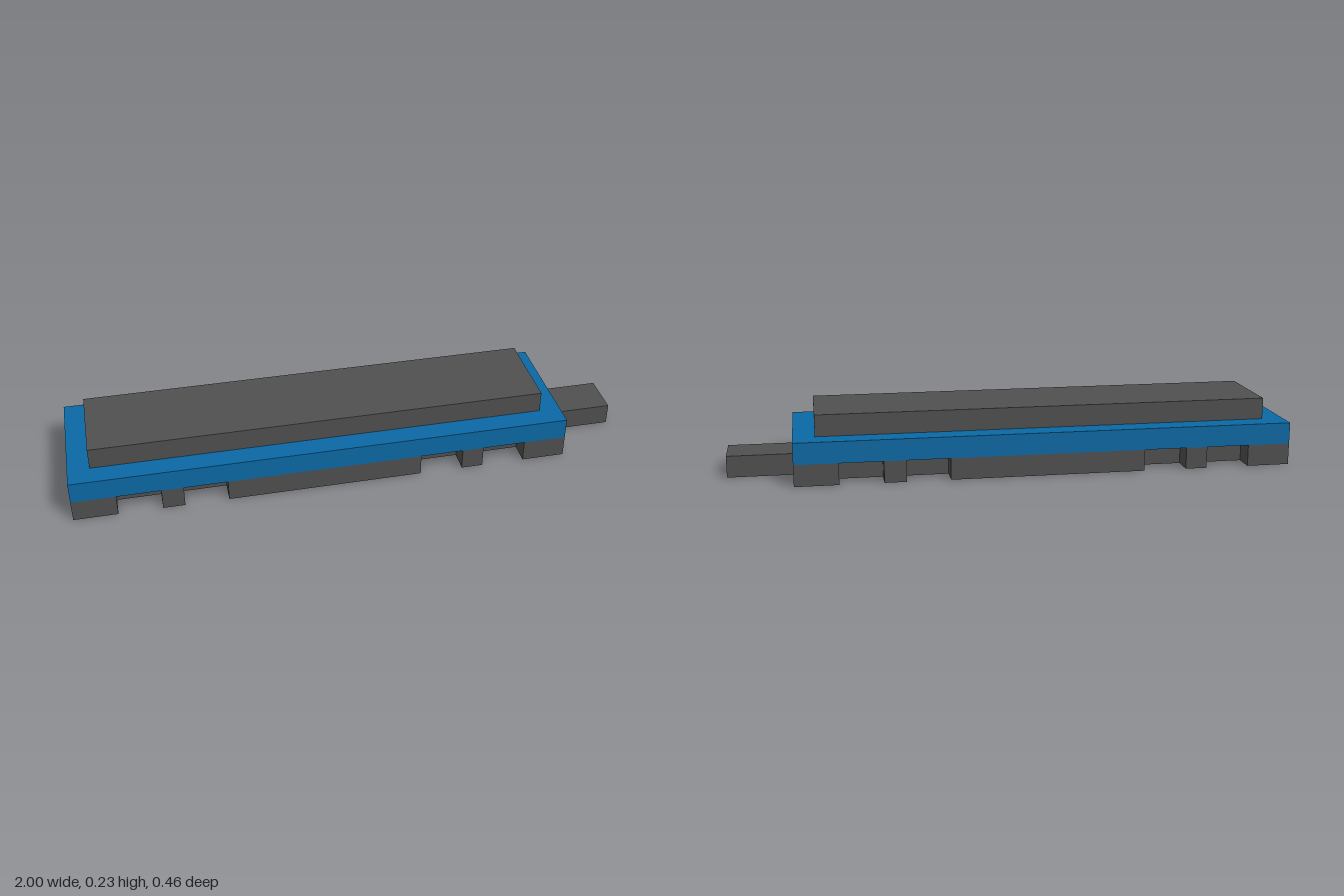
import * as THREE from 'three';

const U = 2 / 26; // modelling unit: the model is 26 units long

export function createModel() {
  const group = new THREE.Group();
  const grey = new THREE.MeshStandardMaterial({ color: 0x505050 });
  grey.name = 'dark grey';
  const blue = new THREE.MeshStandardMaterial({ color: 0x0b69a5 });
  blue.name = 'blue';

  function add(name, geometry, material) {
    const mesh = new THREE.Mesh(geometry, material);
    mesh.name = name;
    group.add(mesh);
  }

  // Box given by its extents along x and z and its bottom, in units; one unit high
  function slab(name, x0, x1, halfDepth, y0, material) {
    const g = new THREE.BoxGeometry((x1 - x0) * U, U, halfDepth * 2 * U);
    g.translate((x0 + x1) / 2 * U, (y0 + 0.5) * U, 0);
    add(name, g, material);
  }

  // Base plate outline with four square-cut notches along each long side
  const notches = [[-11, -9], [-8, -6], [3, 5], [6, 8]];
  const side = [[-13, 3]];
  for (const [a, b] of notches) side.push([a, 3], [a, 2], [b, 2], [b, 3]);
  side.push([10, 3]);
  const outline = [...side, ...side.map(([x, z]) => [x, -z]).reverse()];
  const shape = new THREE.Shape(outline.map(([x, z]) => new THREE.Vector2(x * U, z * U)));
  const base = new THREE.ExtrudeGeometry(shape, { depth: U, bevelEnabled: false });
  base.rotateX(Math.PI / 2);
  base.translate(0, U, 0);
  add('notchedBase', base, grey);

  // Tongue at one end, coloured deck and raised top
  slab('endTongue', 10, 13, 1, 0, grey);
  slab('deck', -13, 10, 3, 1, blue);
  slab('raisedTop', -12, 9, 2, 2, grey);

  return group;
}
